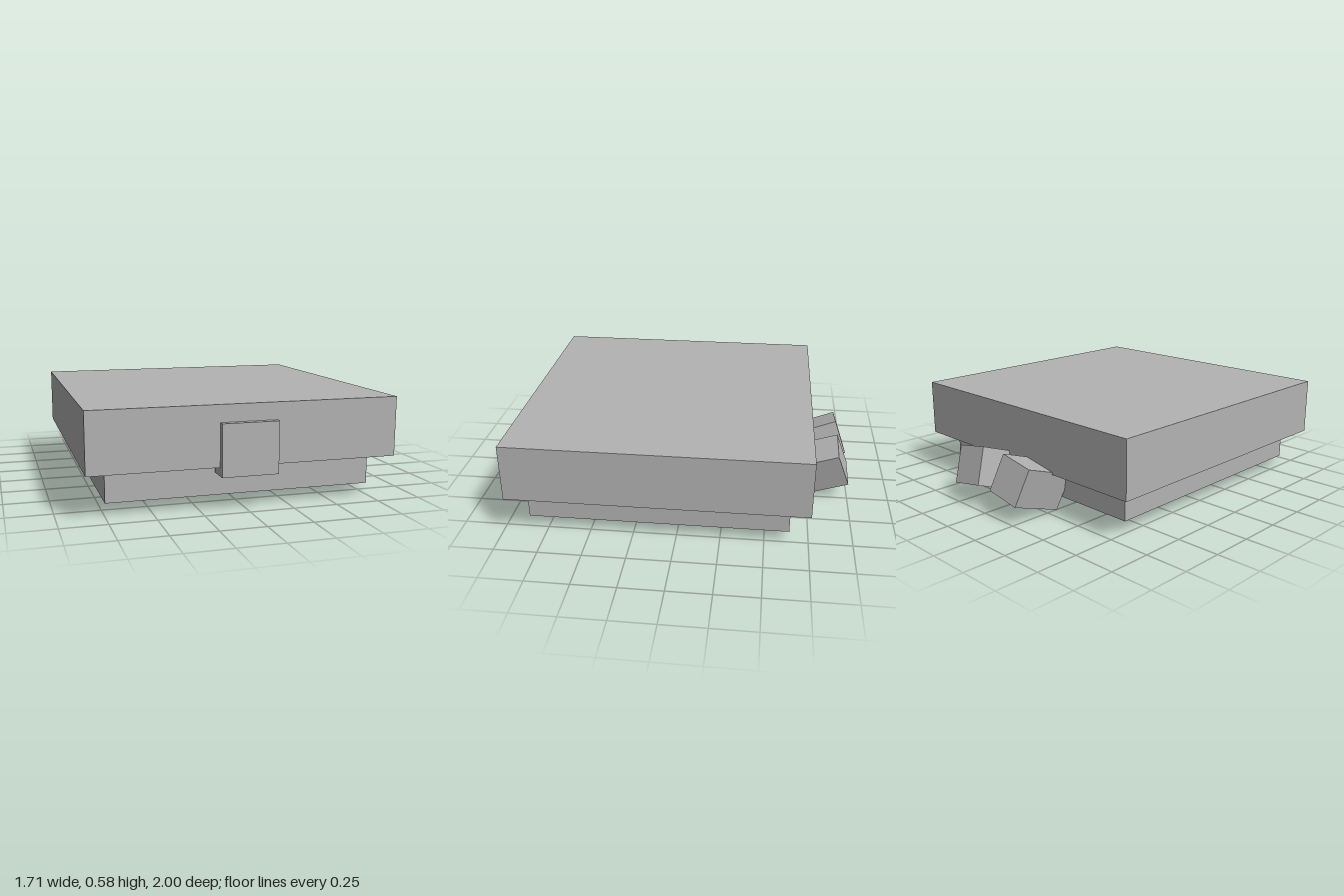
import * as THREE from 'three';

export function createModel() {
  const model = new THREE.Group();
  model.name = 'chestLid';

  const grey = new THREE.MeshStandardMaterial({ color: 0xb3b3b3 });
  grey.name = 'grey';

  function addBox(name, size, position) {
    const mesh = new THREE.Mesh(new THREE.BoxGeometry(...size), grey);
    mesh.name = name;
    mesh.position.set(...position);
    model.add(mesh);
    return mesh;
  }

  // Wide upper slab, with a smaller slab set in beneath it
  addBox('lid', [1.714, 0.333, 1.714], [0, 0.413, 0.107]);
  addBox('innerLip', [1.494, 0.176, 1.5], [0, 0.16, 0.11]);

  // Clasp overlapping the front edge
  addBox('clasp', [0.314, 0.285, 0.125], [0, 0.342, 0.9375]);

  // Mirrored pair of tilted blocks at the back
  for (const side of [1, -1]) {
    const hinge = addBox(
      side > 0 ? 'leftHinge' : 'rightHinge',
      [0.223, 0.222, 0.336],
      [side * 0.172, 0.183, -0.803]
    );
    hinge.rotation.set(
      THREE.MathUtils.degToRad(20),
      0,
      THREE.MathUtils.degToRad(-10 * side),
      'ZYX'
    );
  }

  return model;
}
